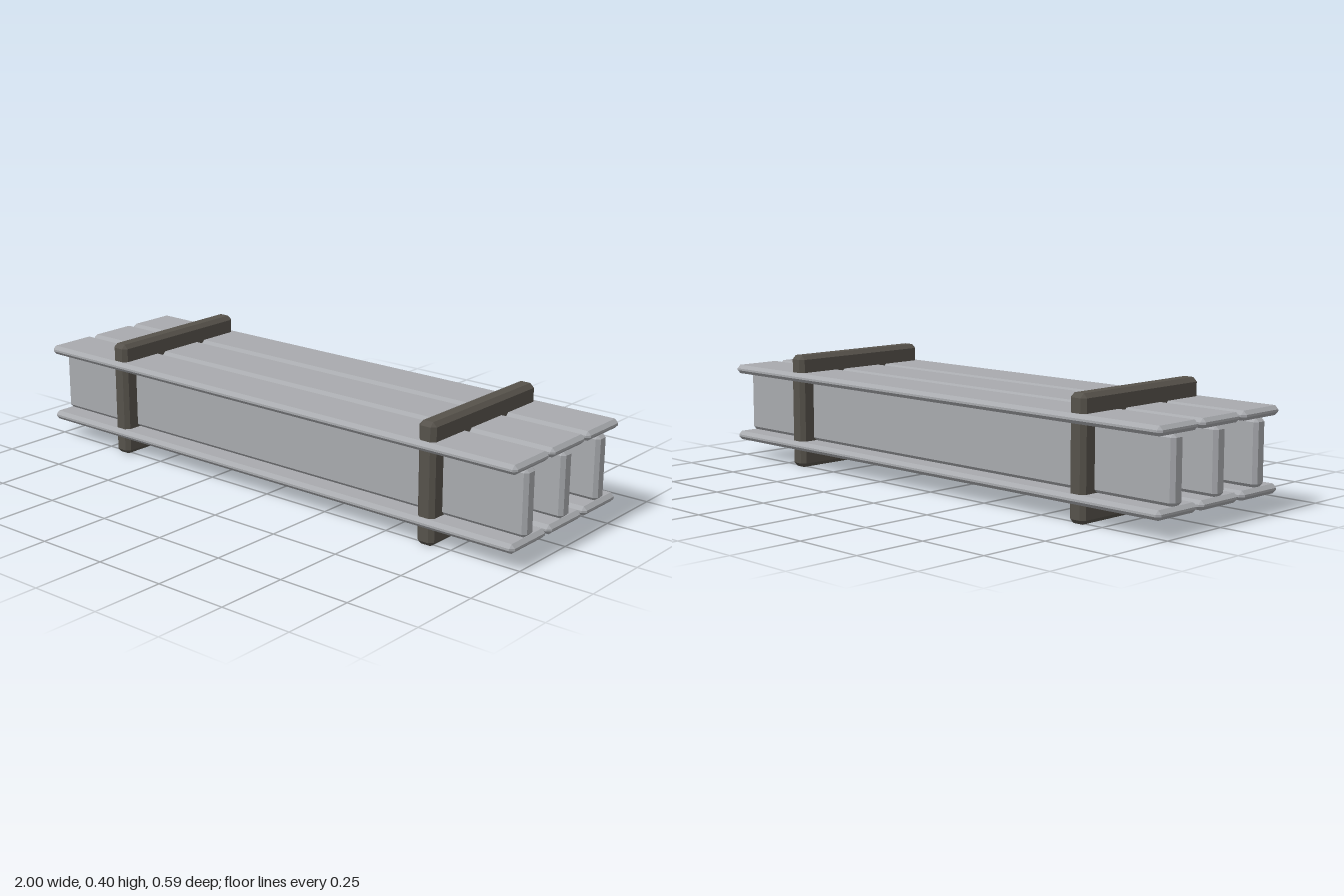
import * as THREE from 'three';
import { ConvexGeometry } from 'three/addons/geometries/ConvexGeometry.js';

// Box with every edge and corner cut by a flat chamfer
function chamferBox(w, h, d, b) {
  const points = [];
  const [x, y, z] = [w / 2, h / 2, d / 2];
  for (const sx of [-1, 1]) for (const sy of [-1, 1]) for (const sz of [-1, 1]) {
    points.push(
      new THREE.Vector3(sx * x, sy * (y - b), sz * (z - b)),
      new THREE.Vector3(sx * (x - b), sy * y, sz * (z - b)),
      new THREE.Vector3(sx * (x - b), sy * (y - b), sz * z)
    );
  }
  return new ConvexGeometry(points);
}

export function createModel() {
  const model = new THREE.Group();
  model.name = 'beamBundle';

  const steel = new THREE.MeshStandardMaterial({ color: 0xa8aaae });
  steel.name = 'greySteel';
  const dark = new THREE.MeshStandardMaterial({ color: 0x56524b });
  dark.name = 'darkBinding';

  const add = (parent, name, geometry, material, x, y, z) => {
    const mesh = new THREE.Mesh(geometry, material);
    mesh.name = name;
    mesh.position.set(x, y, z);
    parent.add(mesh);
  };

  const midY = 0.201;
  const flange = chamferBox(2, 0.031, 0.186, 0.012);
  const web = chamferBox(1.994, 0.217, 0.052, 0.012);
  const binding = chamferBox(0.064, 0.4, 0.555, 0.014);

  // Three I-beams side by side
  ['back', 'middle', 'front'].forEach((side, i) => {
    const beam = new THREE.Group();
    beam.name = side + 'Beam';
    beam.position.set(0, midY, (i - 1) * 0.2);
    add(beam, 'web', web, steel, 0, 0, 0);
    add(beam, 'topFlange', flange, steel, 0, 0.123, 0);
    add(beam, 'bottomFlange', flange, steel, 0, -0.123, 0);
    model.add(beam);
  });

  // Two binding plates holding the beams together
  add(model, 'leftBinding', binding, dark, 0.665, 0.2, 0);
  add(model, 'rightBinding', binding, dark, -0.665, 0.2, 0);

  return model;
}
